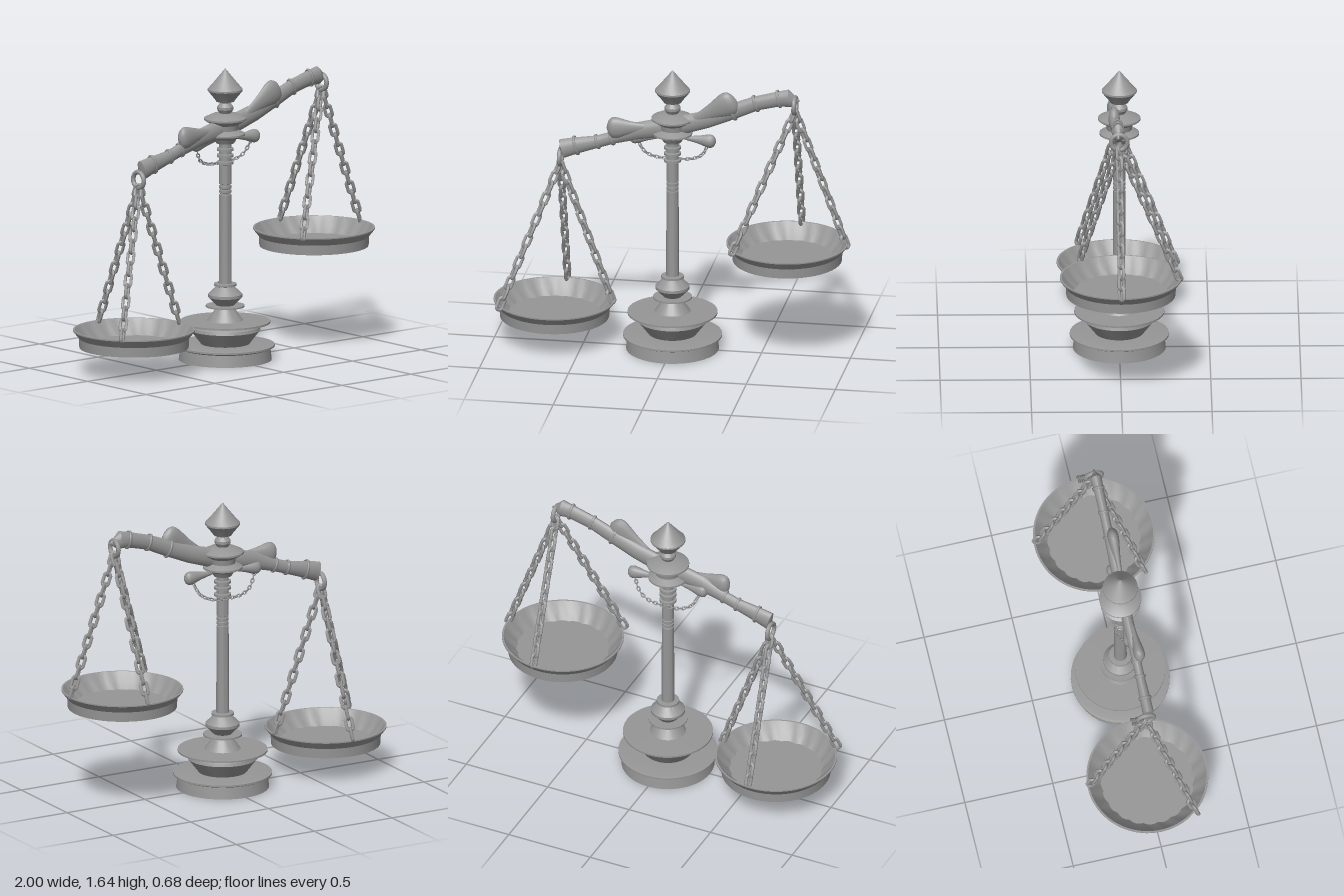
import * as THREE from 'three';
import { toCreasedNormals } from 'three/addons/utils/BufferGeometryUtils.js';

const metal = new THREE.MeshStandardMaterial({ color: 0x969696 });
metal.name = 'grey metal';

const V = (x, y, z = 0) => new THREE.Vector3(x, y, z);

function part(name, geometry, parent) {
  const mesh = new THREE.Mesh(geometry, metal);
  mesh.name = name;
  parent.add(mesh);
  return mesh;
}

// Turned shape with crisp edges where the profile bends sharply
function turned(profile, sides = 28) {
  const pts = profile.map(([r, y]) => new THREE.Vector2(r, y));
  return toCreasedNormals(new THREE.LatheGeometry(pts, sides), 0.5);
}

// Oval link lying along x
function linkGeometry(radius, wire, stretch) {
  const geo = new THREE.TorusGeometry(radius, wire, 6, 14);
  const p = geo.attributes.position;
  for (let i = 0; i < p.count; i++) {
    const x = p.getX(i);
    if (Math.abs(x) > 1e-4) p.setX(i, x + Math.sign(x) * stretch);
  }
  geo.computeVertexNormals();
  return geo;
}

// Row of links along a curve, each turned a quarter from the last
function chain(name, curve, count, geo, parent) {
  const group = new THREE.Group();
  group.name = name;
  for (let i = 0; i < count; i++) {
    const t = (i + 0.5) / count;
    const link = part('chainLink', geo, group);
    link.position.copy(curve.getPointAt(t));
    link.quaternion.setFromUnitVectors(V(1, 0, 0), curve.getTangentAt(t));
    link.rotateX(Math.PI / 4 + (i % 2) * Math.PI / 2);
  }
  parent.add(group);
}

// Sections of the beam: x, y, half height, half depth
const beamSections = [
  [-0.632, 1.14, 0.001, 0.001], [-0.618, 1.145, 0.056, 0.032], [-0.54, 1.168, 0.048, 0.03],
  [-0.42, 1.198, 0.036, 0.025], [-0.34, 1.225, 0.036, 0.025], [-0.2, 1.275, 0.05, 0.03],
  [-0.08, 1.3, 0.055, 0.032], [0.08, 1.335, 0.055, 0.032], [0.2, 1.37, 0.05, 0.03],
  [0.34, 1.425, 0.046, 0.027], [0.47, 1.48, 0.042, 0.026], [0.6, 1.515, 0.044, 0.028],
  [0.66, 1.522, 0.052, 0.032], [0.72, 1.51, 0.001, 0.001],
];
const BEAM_Z = 0.015;

function beamNormal(i) {
  const a = beamSections[Math.max(i - 1, 1)], b = beamSections[Math.min(i + 1, beamSections.length - 2)];
  return V(a[1] - b[1], b[0] - a[0]).normalize();
}

function beamGeometry() {
  const n = 14, pos = [], idx = [];
  beamSections.forEach(([x, y, h, d], i) => {
    const up = beamNormal(i);
    for (let j = 0; j < n; j++) {
      const a = (j / n) * Math.PI * 2, c = Math.cos(a) * h;
      pos.push(x + up.x * c, y + up.y * c, BEAM_Z + Math.sin(a) * d);
      if (i < beamSections.length - 1) {
        const k = (j + 1) % n, p = i * n;
        idx.push(p + j, p + k, p + n + j, p + k, p + n + k, p + n + j);
      }
    }
  });
  const geo = new THREE.BufferGeometry();
  geo.setAttribute('position', new THREE.Float32BufferAttribute(pos, 3));
  geo.setIndex(idx);
  return toCreasedNormals(geo, 0.6);
}

// Teardrop scroll from a thin tail to a round head, flattened in z
function scroll(name, tail, head, radius, depth, parent) {
  const length = tail.distanceTo(head);
  const curve = new THREE.SplineCurve([
    [0.002, 0], [radius * 0.35, length * 0.3], [radius * 0.6, length * 0.55], [radius, length * 0.83],
    [radius * 0.75, length * 0.95], [0.001, length],
  ].map(([r, y]) => new THREE.Vector2(r, y)));
  const mesh = part(name, new THREE.LatheGeometry(curve.getPoints(16), 14), parent);
  mesh.position.copy(tail);
  mesh.quaternion.setFromUnitVectors(V(0, 1, 0), head.clone().sub(tail).normalize());
  mesh.scale.z = depth / radius;
}

// Shallow dish with a flared rim and fluted inside wall
function panGeometry() {
  const pts = [[0, 0], [0.303, 0], [0.306, 0.055], [0.338, 0.095], [0.338, 0.102], [0.328, 0.102],
    [0.292, 0.055], [0.255, 0.018], [0, 0.018]].map(([r, y]) => new THREE.Vector2(r, y));
  const geo = new THREE.LatheGeometry(pts, 80);
  const p = geo.attributes.position;
  for (let i = 0; i < p.count; i++) {
    const ring = i % pts.length;
    if (ring !== 6 && ring !== 7) continue;
    const a = Math.atan2(p.getX(i), p.getZ(i));
    const s = 1 + 0.035 * (Math.abs(Math.sin(a * 10)) - 0.5);
    p.setX(i, p.getX(i) * s);
    p.setZ(i, p.getZ(i) * s);
  }
  return toCreasedNormals(geo, 0.5);
}

export function createModel() {
  const model = new THREE.Group();
  model.name = 'balanceScale';

  // Stepped base
  part('base', turned([[0, 0], [0.258, 0], [0.25, 0.066], [0.262, 0.07], [0.275, 0.076], [0.275, 0.086],
    [0.255, 0.09], [0.135, 0.09], [0.195, 0.168], [0.19, 0.185], [0.165, 0.205], [0.25, 0.208], [0.25, 0.218],
    [0.1, 0.22], [0.052, 0.288], [0.06, 0.294], [0.108, 0.297], [0.108, 0.306], [0, 0.306]], 36), model);

  // Slim post with turned knop, grooves and collars
  const post = [[0, 0.3], [0.05, 0.306], [0.095, 0.352], [0.095, 0.368], [0.05, 0.412], [0.063, 0.416],
    [0.063, 0.428], [0.036, 0.43]];
  for (const y of [0.93, 0.955, 0.98]) post.push([0.034, y], [0.029, y + 0.002], [0.029, y + 0.008], [0.034, y + 0.01]);
  for (const y of [1.1, 1.14, 1.175]) post.push([0.034, y], [0.047, y + 0.003], [0.047, y + 0.017], [0.034, y + 0.02]);
  post.push([0.034, 1.23], [0, 1.23]);
  part('post', turned(post), model);

  // Hub the beam rests on
  part('hub', turned([[0, 1.215], [0.05, 1.22], [0.065, 1.245], [0.11, 1.265], [0.11, 1.275], [0.07, 1.295],
    [0.075, 1.325], [0.118, 1.352], [0.118, 1.362], [0.07, 1.385], [0.03, 1.39], [0, 1.39]]), model);

  // Pointed finial
  part('finial', turned([[0, 1.38], [0.03, 1.385], [0.045, 1.41], [0.045, 1.425], [0.028, 1.448], [0.05, 1.455],
    [0.06, 1.47], [0.097, 1.516], [0.097, 1.526], [0.075, 1.55], [0, 1.642]]), model);

  // Tilted beam with thin bands
  part('beam', beamGeometry(), model);
  for (const i of [2, 3, 4, 9, 10, 11]) {
    const [x, y, h, d] = beamSections[i];
    const band = part('beamBand', new THREE.TorusGeometry(1, 0.12, 6, 20), model);
    const up = beamNormal(i);
    band.position.set(x, y, BEAM_Z);
    band.quaternion.setFromRotationMatrix(
      new THREE.Matrix4().makeBasis(V(0, 0, 1), up, V(-up.y, up.x)));
    band.scale.set(d + 0.004, h + 0.004, 0.07);
  }

  // Scrolls on and under the beam
  scroll('rightScroll', V(-0.36 + 0.3, 1.31, 0.03), V(-0.365, 1.29, 0.033), 0.062, 0.032, model);
  scroll('leftScroll', V(0.04, 1.32, 0.03), V(0.365, 1.5, 0.033), 0.07, 0.032, model);
  for (const s of [-1, 1]) scroll('lowerScroll', V(s * 0.02, 1.25, 0), V(s * 0.245, 1.232, 0), 0.038, 0.03, model);

  // Fine chain swag beneath the hub
  const swag = new THREE.CatmullRomCurve3([V(-0.2, 1.215, -0.01), V(-0.16, 1.14, -0.03), V(-0.1, 1.108, -0.045),
    V(0, 1.1, -0.05), V(0.1, 1.108, -0.045), V(0.16, 1.14, -0.03), V(0.2, 1.215, -0.01)]);
  chain('swagChain', swag, 24, linkGeometry(0.008, 0.0035, 0.005), model);

  // Pans, each hung by three chains from a ring
  const link = linkGeometry(0.018, 0.0095, 0.019);
  const pan = panGeometry();
  const sides = [
    { name: 'right', x: -0.663, y: 0.15, hook: V(-0.63, 1.09, 0), ends: [V(-0.94, 0.25, 0.22), V(-0.645, 0.25, -0.325), V(-0.335, 0.25, 0)] },
    { name: 'left', x: 0.645, y: 0.563, hook: V(0.69, 1.48, 0.01), ends: [V(0.37, 0.66, 0.225), V(0.672, 0.66, -0.325), V(0.98, 0.66, 0)] },
  ];
  for (const { name, x, y, hook, ends } of sides) {
    const group = new THREE.Group();
    group.name = name + 'Pan';
    part('pan', pan, group).position.set(x, y, 0);
    const ring = part('hangingRing', new THREE.TorusGeometry(0.045, 0.013, 8, 20), group);
    ring.position.copy(hook);
    ring.rotation.y = Math.PI / 2;
    const top = hook.clone().add(V(0, -0.03, 0));
    for (const end of ends) chain('panChain', new THREE.LineCurve3(top, end), 14, link, group);
    model.add(group);
  }
  return model;
}
